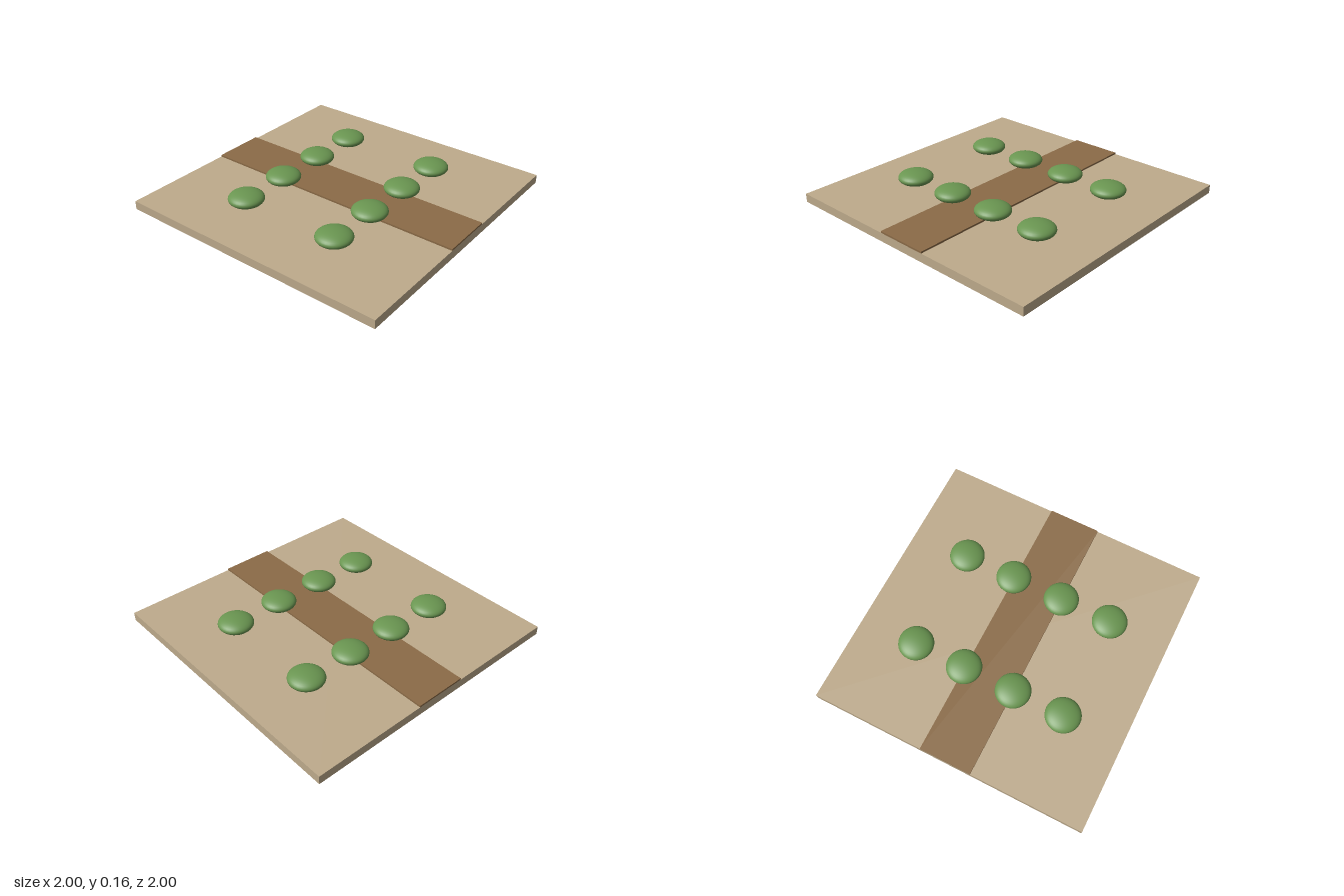
import * as THREE from 'three';

export function createModel() {
  const model = new THREE.Group();
  const sand = new THREE.MeshStandardMaterial({ name: 'sandy ground', color: 0xbeab8c });
  const earth = new THREE.MeshStandardMaterial({ name: 'brown path', color: 0x8b6b47 });
  const leaf = new THREE.MeshStandardMaterial({ name: 'leaf green', color: 0x6a9651 });

  const add = (name, geometry, material, x, y, z) => {
    const mesh = new THREE.Mesh(geometry, material);
    mesh.name = name;
    mesh.position.set(x, y, z);
    model.add(mesh);
  };

  // Square ground slab
  const groundTop = 0.0625;
  add('ground', new THREE.BoxGeometry(2, groundTop, 2), sand, 0, groundTop / 2, 0);

  // Raised path running front to back
  const pathHeight = 0.0125;
  add('path', new THREE.BoxGeometry(0.375, pathHeight, 2), earth, 0, groundTop + pathHeight / 2, 0);

  // Two rows of four flattened round bushes, resting on the ground
  const bushHalfHeight = 0.05;
  const bush = new THREE.SphereGeometry(0.125, 32, 20).scale(1, bushHalfHeight / 0.125, 1);
  for (const z of [-0.375, 0.375]) {
    for (const x of [-0.5625, -0.1875, 0.1875, 0.5625]) {
      add('bush', bush, leaf, x, groundTop + bushHalfHeight, z);
    }
  }
  return model;
}
